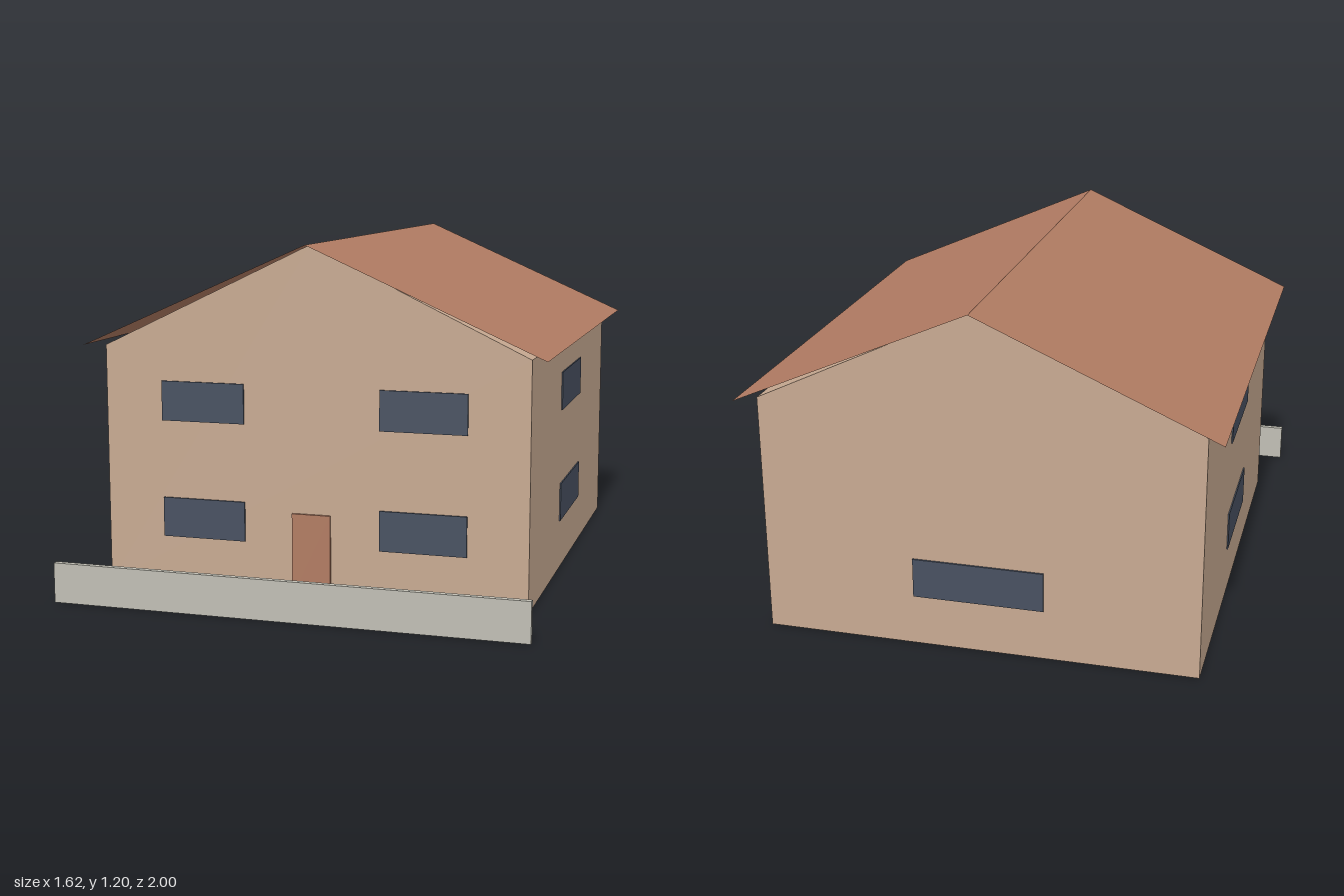
import * as THREE from 'three';

const material = (name, color, side = THREE.FrontSide) => {
  const m = new THREE.MeshStandardMaterial({ color, side });
  m.name = name;
  return m;
};

export function createModel() {
  const house = new THREE.Group();
  house.name = 'house';

  const wallTan = material('wall tan', 0xc8aa92);
  const tileBrown = material('roof terracotta', 0xb27c63, THREE.DoubleSide);
  const glassBlue = material('window slate blue', 0x485161);
  const stoneGrey = material('fence grey', 0xc1bfb5);

  const add = (name, geometry, mat, x = 0, y = 0, z = 0) => {
    const mesh = new THREE.Mesh(geometry, mat);
    mesh.name = name;
    mesh.position.set(x, y, z);
    house.add(mesh);
    return mesh;
  };
  const box = (name, mat, w, h, d, x, y, z) =>
    add(name, new THREE.BoxGeometry(w, h, d), mat, x, y, z);

  // Walls: gabled outline run from back to front
  const halfW = 0.748, front = 0.694, back = -0.938, eaves = 0.843, ridge = 1.2;
  const outline = new THREE.Shape([
    new THREE.Vector2(-halfW, 0),
    new THREE.Vector2(halfW, 0),
    new THREE.Vector2(halfW, eaves),
    new THREE.Vector2(0, ridge),
    new THREE.Vector2(-halfW, eaves),
  ]);
  add('walls', new THREE.ExtrudeGeometry(outline, { depth: front - back, bevelEnabled: false }),
    wallTan, 0, 0, back);

  // Roof: two thin sheets meeting at the ridge and overhanging the walls
  const roofX = 0.808, roofY = 0.846, roofFront = 0.752, roofBack = -1;
  const ridgeY = ridge + 0.002;
  for (const [name, s] of [['roofLeft', 1], ['roofRight', -1]]) {
    const sheet = new THREE.BufferGeometry();
    sheet.setAttribute('position', new THREE.Float32BufferAttribute([
      0, ridgeY, roofFront, s * roofX, roofY, roofFront,
      s * roofX, roofY, roofBack, 0, ridgeY, roofBack,
    ], 3));
    sheet.setIndex(s > 0 ? [0, 1, 2, 0, 2, 3] : [0, 2, 1, 0, 3, 2]);
    sheet.computeVertexNormals();
    add(name, sheet, tileBrown);
  }

  // Windows: two floors on the front and both sides, one at the back
  const windowH = 0.138, thin = 0.009;
  for (const [floor, y] of [['lower', 0.247], ['upper', 0.656]]) {
    for (const [side, s] of [['Left', 1], ['Right', -1]]) {
      box(`${floor}FrontWindow${side}`, glassBlue, 0.3, windowH, thin, s * 0.39, y, front + 0.002);
      box(`${floor}SideWindow${side}`, glassBlue, thin, windowH, 0.43, s * halfW, y, -0.121);
    }
  }
  box('backWindow', glassBlue, 0.45, windowH, thin, 0, 0.247, back - 0.002);

  // Front door
  box('door', tileBrown, 0.136, 0.288, thin, 0, 0.144, front + 0.005);

  // Low fence standing in front of the house
  box('fence', stoneGrey, 1.625, 0.137, 0.02, 0, 0.0685, 0.99);

  return house;
}
